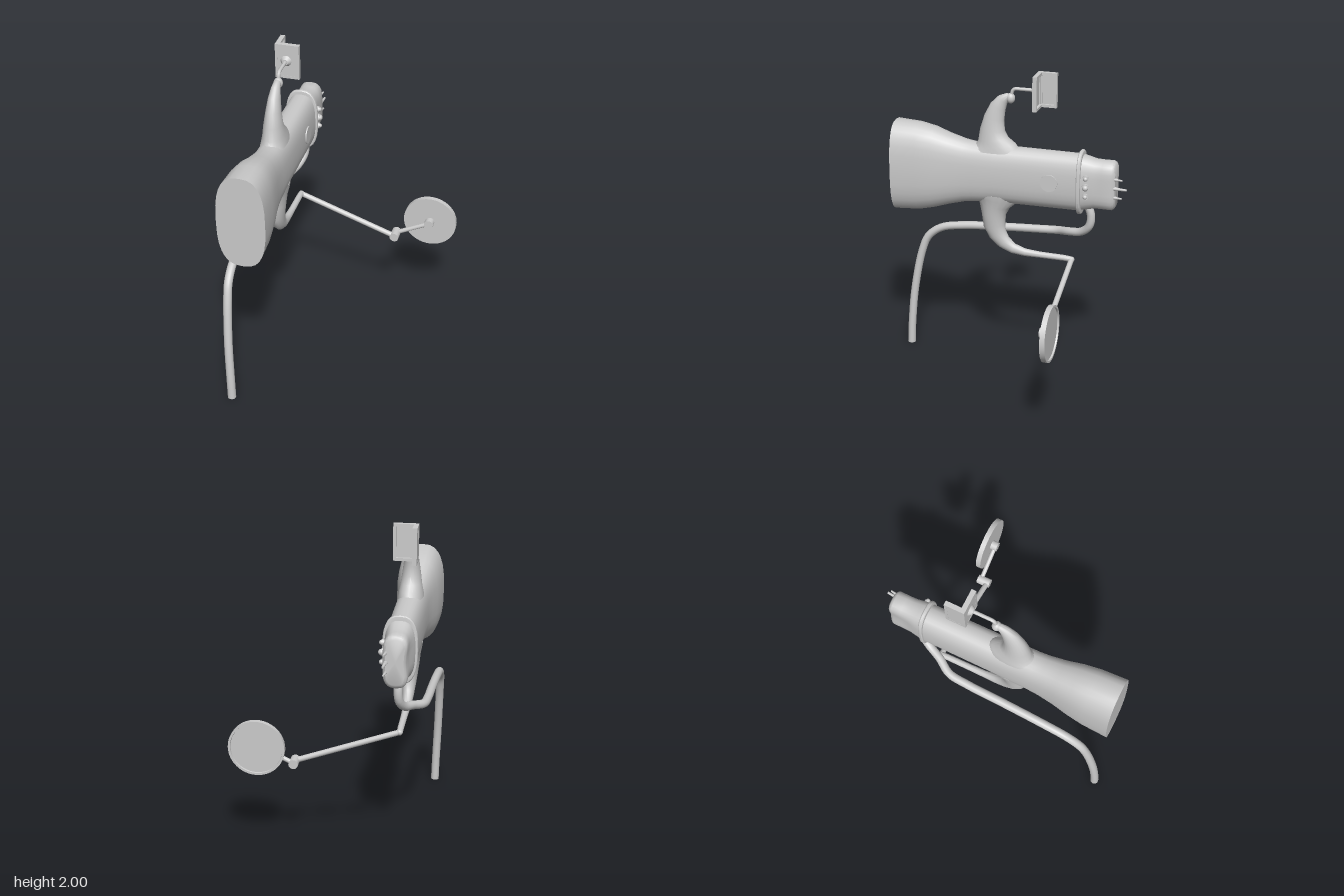
import * as THREE from 'three';
import { toCreasedNormals } from 'three/addons/utils/BufferGeometryUtils.js';

const CX = -0.42; // centre line of the body
const V = (x, y, z) => new THREE.Vector3(x, y, z);
const material = new THREE.MeshStandardMaterial({ color: 0xcccccc, side: THREE.DoubleSide });

function add(parent, name, geometry, x = 0, y = 0, z = 0) {
  const mesh = new THREE.Mesh(geometry, material);
  mesh.name = name;
  mesh.position.set(x, y, z);
  parent.add(mesh);
  return mesh;
}

// Skin a list of closed rings and cap both ends
function loft(rings, crease = 0.6) {
  const n = rings[0].length, pos = [], idx = [];
  rings.forEach(r => r.forEach(p => pos.push(p.x, p.y, p.z)));
  for (let i = 0; i < rings.length - 1; i++) {
    for (let j = 0; j < n; j++) {
      const a = i * n + j, b = i * n + (j + 1) % n;
      idx.push(a, b, a + n, b, b + n, a + n);
    }
  }
  [0, rings.length - 1].forEach((i, end) => {
    const c = pos.length / 3, mid = V(0, 0, 0);
    rings[i].forEach(p => mid.addScaledVector(p, 1 / n));
    pos.push(mid.x, mid.y, mid.z);
    for (let j = 0; j < n; j++) {
      const a = i * n + j, b = i * n + (j + 1) % n;
      idx.push(c, end ? a : b, end ? b : a);
    }
  });
  const g = new THREE.BufferGeometry();
  g.setAttribute('position', new THREE.Float32BufferAttribute(pos, 3));
  g.setIndex(idx);
  return toCreasedNormals(g, crease);
}

// Flattened-oval section across z: [z, bottom, top, halfWidth, waist]
function ovalRing([z, lo, hi, hw, waist = 0]) {
  const ring = [], n = 28, e = 2 / 2.7;
  const pw = t => Math.sign(t) * Math.abs(t) ** e;
  for (let j = 0; j < n; j++) {
    const a = j / n * Math.PI * 2, u = pw(Math.cos(a)), v = pw(Math.sin(a));
    const pinch = 1 - waist * (v < 0 ? 1 : 0.4) * (1 - u * u) ** 2;
    ring.push(V(CX + v * hw * pinch, (lo + hi) / 2 + u * (hi - lo) / 2, z));
  }
  return ring;
}

// Elliptical sections following a path in the y-z plane: [y, z, halfDepth, halfWidth]
function horn(sections, n = 20) {
  return loft(sections.map(([y, z, d, w], i) => {
    const p = sections[Math.max(i - 1, 0)], q = sections[Math.min(i + 1, sections.length - 1)];
    const t = V(0, q[0] - p[0], q[1] - p[1]).normalize();
    return Array.from({ length: n }, (_, j) => {
      const a = j / n * Math.PI * 2, c = Math.cos(a) * d;
      return V(CX + Math.sin(a) * w, y - t.z * c, z + t.y * c);
    });
  }));
}

// Straight cylinder between two points
function rod(parent, name, a, b, r1, r2 = r1, sides = 20) {
  const dir = b.clone().sub(a);
  const mesh = add(parent, name, new THREE.CylinderGeometry(r2, r1, dir.length(), sides));
  mesh.position.copy(a).add(b).multiplyScalar(0.5);
  mesh.quaternion.setFromUnitVectors(V(0, 1, 0), dir.normalize());
  return mesh;
}

// Shallow rectangular tray, open towards local +z
function tray(parent, name, w, h, depth, rim) {
  const rect = (s, a, b) => s.moveTo(-a, -b).lineTo(a, -b).lineTo(a, b).lineTo(-a, b).closePath();
  const shape = rect(new THREE.Shape(), w / 2, h / 2);
  shape.holes.push(rect(new THREE.Path(), w / 2 - rim, h / 2 - rim));
  const g = new THREE.Group();
  g.name = name;
  add(g, 'trayFrame', new THREE.ExtrudeGeometry(shape, { depth, bevelEnabled: false }));
  add(g, 'trayFloor', new THREE.BoxGeometry(w - rim, h - rim, 0.01), 0, 0, 0.006);
  parent.add(g);
  return g;
}

export function createModel() {
  const model = new THREE.Group();
  model.name = 'model';

  // Flared main body, collar and pinched tail
  add(model, 'body', loft([
    [0.76, 1.035, 1.63, 0.147], [0.6, 1.045, 1.62, 0.14], [0.5, 1.068, 1.6, 0.128],
    [0.4, 1.1, 1.565, 0.11], [0.3, 1.127, 1.537, 0.099], [0.24, 1.135, 1.527, 0.096],
    [0.1, 1.148, 1.518, 0.094], [-0.46, 1.15, 1.515, 0.091],
  ].map(ovalRing)));
  add(model, 'collar', loft([
    [-0.443, 1.145, 1.52, 0.092], [-0.445, 1.132, 1.535, 0.1], [-0.45, 1.127, 1.54, 0.104],
    [-0.463, 1.127, 1.54, 0.104], [-0.469, 1.132, 1.535, 0.1], [-0.471, 1.145, 1.52, 0.092],
  ].map(ovalRing)));
  add(model, 'tail', loft([
    [-0.46, 1.155, 1.515, 0.091], [-0.5, 1.163, 1.505, 0.089, 0.05], [-0.55, 1.175, 1.492, 0.083, 0.16],
    [-0.6, 1.175, 1.49, 0.083, 0.25], [-0.66, 1.175, 1.49, 0.085, 0.32],
    [-0.673, 1.183, 1.483, 0.079, 0.32], [-0.682, 1.2, 1.467, 0.066, 0.32],
  ].map(ovalRing)));

  // Tail prongs and side knobs
  [1.272, 1.331, 1.39].forEach((y, i) => {
    const mid = i === 1;
    const z = mid ? -0.757 : -0.728, r = mid ? 0.013 : 0.01;
    rod(model, 'prongBase', V(-0.365, y, -0.66), V(-0.363, y, -0.7), r, r * 0.9, 12);
    rod(model, 'prong', V(-0.363, y, -0.69), V(-0.357, y, z), r * 0.75, r * 0.55, 12);
    rod(model, 'knob', V(-0.36, y, -0.5), V(-0.32, y, -0.506), mid ? 0.024 : 0.019);
    add(model, 'knobCap', new THREE.SphereGeometry(mid ? 0.019 : 0.014, 16, 10), -0.319, y, -0.506);
  });
  rod(model, 'sideButton', V(-0.35, 1.335, -0.272), V(-0.322, 1.335, -0.272), 0.058, 0.055, 28);

  // Upper and lower curved horns
  add(model, 'upperHorn', horn([
    [1.485, 0.105, 0.175, 0.078], [1.52, 0.105, 0.137, 0.073], [1.56, 0.115, 0.098, 0.065],
    [1.62, 0.12, 0.08, 0.057], [1.7, 0.108, 0.065, 0.046], [1.77, 0.084, 0.052, 0.037],
    [1.82, 0.052, 0.036, 0.028], [1.842, 0.022, 0.022, 0.022], [1.845, 0.004, 0.014, 0.016],
  ]));
  add(model, 'lowerHorn', horn([
    [1.2, 0.095, 0.165, 0.08], [1.165, 0.095, 0.137, 0.075], [1.12, 0.105, 0.1, 0.066],
    [1.06, 0.11, 0.08, 0.06], [0.98, 0.106, 0.072, 0.05], [0.92, 0.083, 0.06, 0.042],
    [0.87, 0.042, 0.047, 0.035], [0.832, -0.02, 0.034, 0.028], [0.814, -0.1, 0.025, 0.022],
    [0.81, -0.2, 0.02, 0.02], [0.808, -0.36, 0.019, 0.019], [0.803, -0.412, 0.018, 0.018],
  ]));

  // Ball joint, bent stem and the corner-shaped holder on top
  add(model, 'ballJoint', new THREE.SphereGeometry(0.028, 20, 14), CX, 1.832, 0.003).scale.y = 1.2;
  const stem = new THREE.CurvePath();
  stem.add(new THREE.LineCurve3(V(CX, 1.84, 0), V(CX, 1.868, -0.005)));
  stem.add(new THREE.QuadraticBezierCurve3(V(CX, 1.868, -0.005), V(CX, 1.895, -0.01), V(CX, 1.895, -0.035)));
  stem.add(new THREE.LineCurve3(V(CX, 1.895, -0.035), V(CX, 1.895, -0.15)));
  add(model, 'stem', new THREE.TubeGeometry(stem, 24, 0.011, 12));
  rod(model, 'stemFlange', V(CX, 1.895, -0.135), V(CX, 1.895, -0.16), 0.018, 0.036, 24);
  const face = tray(model, 'holderFace', 0.148, 0.22, 0.028, 0.017);
  face.position.set(-0.414, 1.89, -0.156);
  face.rotation.y = Math.PI;
  const side = tray(model, 'holderSide', 0.12, 0.22, 0.028, 0.017);
  side.position.set(-0.488, 1.89, -0.219);
  side.rotation.y = Math.PI / 2;

  // Jointed arm carrying the round mirror
  const elbow = V(0.207, 0.58, -0.405), hub = V(0.422, 0.685, -0.45);
  add(model, 'armShoulder', new THREE.SphereGeometry(0.019, 16, 12), CX, 0.803, -0.406);
  rod(model, 'upperArm', V(CX, 0.803, -0.406), elbow, 0.017);
  rod(model, 'elbowJoint', V(0.207, 0.58, -0.385), V(0.207, 0.58, -0.47), 0.029, 0.029, 24);
  rod(model, 'foreArm', V(0.207, 0.58, -0.45), hub, 0.014);
  rod(model, 'mirrorHub', V(0.422, 0.685, -0.432), V(0.422, 0.685, -0.482), 0.03, 0.03, 24);
  const profile = [[0, 0], [0.171, 0], [0.171, 0.032], [0.158, 0.032], [0.156, 0.022], [0, 0.022]];
  const dish = toCreasedNormals(new THREE.LatheGeometry(profile.map(p => new THREE.Vector2(...p)), 48), 0.5);
  add(model, 'mirror', dish, 0.422, 0.685, -0.474).rotation.x = -Math.PI / 2;

  // Hose from the tail, along the right side and down to the ground
  const hose = new THREE.CatmullRomCurve3([
    V(-0.42, 1.19, -0.5), V(-0.42, 1.12, -0.525), V(-0.425, 1.045, -0.515), V(-0.45, 0.99, -0.46),
    V(-0.49, 0.965, -0.37), V(-0.545, 0.942, -0.28), V(-0.558, 0.93, -0.15), V(-0.563, 0.915, 0.08),
    V(-0.57, 0.89, 0.36), V(-0.572, 0.855, 0.52), V(-0.57, 0.785, 0.61), V(-0.565, 0.68, 0.654),
    V(-0.555, 0.4, 0.708), V(-0.545, 0.15, 0.73), V(-0.541, 0, 0.735),
  ]);
  add(model, 'hose', new THREE.TubeGeometry(hose, 90, 0.026, 16));
  add(model, 'hoseEnd', new THREE.CylinderGeometry(0.026, 0.026, 0.01, 16), -0.541, 0.005, 0.735);

  return model;
}
